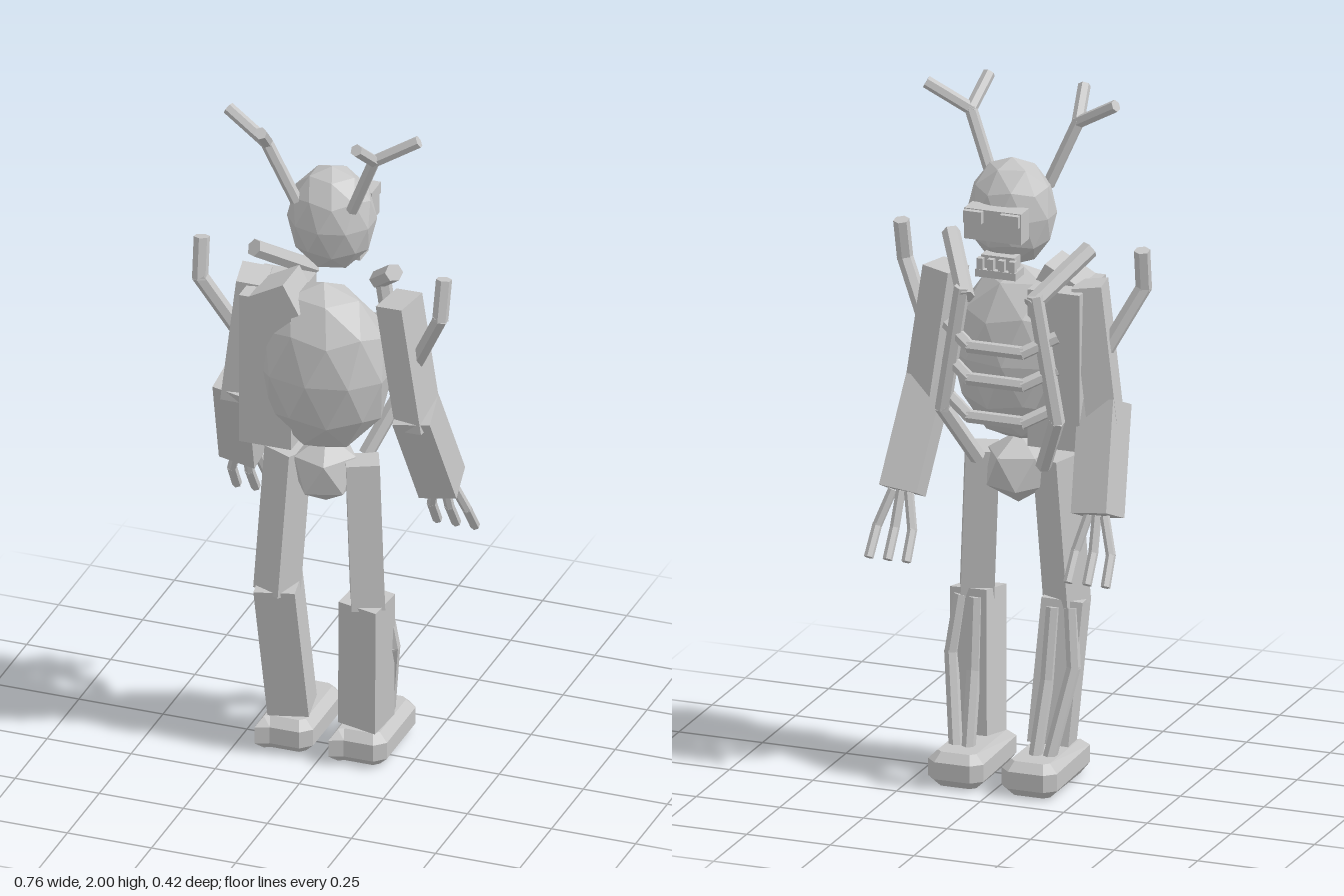
import * as THREE from 'three';

const grey = new THREE.MeshStandardMaterial({ color: 0xc6c6c6, flatShading: true });
grey.name = 'stoneGrey';

const UP = new THREE.Vector3(0, 1, 0);

export function createModel() {
  const model = new THREE.Group();
  model.name = 'antleredCreature';

  const add = (name, geometry, x = 0, y = 0, z = 0, parent = model) => {
    const mesh = new THREE.Mesh(geometry, grey);
    mesh.name = name;
    mesh.position.set(x, y, z);
    parent.add(mesh);
    return mesh;
  };

  // Places a part built along y between an upper and a lower point
  const span = (name, top, bottom, makeGeometry, parent) => {
    const p = new THREE.Vector3(...top), q = new THREE.Vector3(...bottom);
    const dir = p.clone().sub(q);
    const mid = p.clone().add(q).multiplyScalar(0.5);
    const mesh = add(name, makeGeometry(dir.length()), mid.x, mid.y, mid.z, parent);
    mesh.quaternion.setFromUnitVectors(UP, dir.normalize());
  };

  // Chain of six-sided sticks through a list of points
  const sticks = (name, points, r, parent) => {
    for (let i = 0; i < points.length - 1; i++) {
      span(name, points[i], points[i + 1], h => new THREE.CylinderGeometry(r, r, h + r * 0.5, 6), parent);
    }
  };

  // Square limb turned a little about its own length
  const limb = (name, top, bottom, w, d, turn, parent) =>
    span(name, top, bottom, h => new THREE.BoxGeometry(w, h, d).rotateY(turn), parent);

  // Faceted ball with a corner at the top and bottom
  const blob = (name, rx, ry, rz, x, y, z, detail = 1) => add(name,
    new THREE.IcosahedronGeometry(1, detail).rotateZ(-0.5536).scale(rx, ry, rz), x, y, z);

  // Box with every edge cut off at c
  const chamferBox = (w, h, d, c) => {
    const x = w / 2 - c, z = d / 2 - c;
    const k = c * 0.6;
    const outline = new THREE.Shape([[-x, -z - c + k], [-x + k, -z], [x - k, -z], [x, -z + k],
      [x, z - k], [x - k, z], [-x + k, z], [-x, z - k]].map(([a, b]) => new THREE.Vector2(a, b)));
    return new THREE.ExtrudeGeometry(outline, {
      depth: h - 2 * c, bevelEnabled: true, bevelThickness: c, bevelSize: c, bevelSegments: 1,
    }).translate(0, 0, c - h / 2).rotateX(-Math.PI / 2);
  };

  // Head, torso and pelvis
  blob('head', 0.127, 0.158, 0.115, 0, 1.66, -0.008);
  blob('torso', 0.2, 0.26, 0.15, 0, 1.225, 0.057);
  blob('pelvis', 0.1, 0.105, 0.11, 0, 0.895, 0.04, 0);

  // Face, looking towards -z
  add('face', new THREE.BoxGeometry(0.17, 0.09, 0.06), 0, 1.66, -0.125);
  add('jaw', new THREE.BoxGeometry(0.12, 0.022, 0.065), 0, 1.511, -0.103);
  add('mouth', new THREE.BoxGeometry(0.1, 0.06, 0.045), 0, 1.53, -0.095);
  for (let i = 0; i < 4; i++) {
    add('tooth', new THREE.BoxGeometry(0.018, 0.035, 0.02), -0.048 + i * 0.032, 1.536, -0.124);
  }

  // Ribs bent round the chest
  for (const y of [1.29, 1.195, 1.085]) {
    sticks('rib', [[0.16, y + 0.04, -0.085], [0.08, y, -0.13], [-0.08, y, -0.13], [-0.16, y + 0.04, -0.085]], 0.019);
  }

  // Plates on the right shoulder blade
  add('backPlate', new THREE.BoxGeometry(0.155, 0.46, 0.2), -0.14, 1.22, 0.05);
  add('shoulderPlate', new THREE.BoxGeometry(0.13, 0.1, 0.13), -0.12, 1.43, 0.085).rotation.z = 0.5;

  // Paired parts
  for (const s of [1, -1]) {
    const side = new THREE.Group();
    side.name = s > 0 ? 'leftSide' : 'rightSide';
    model.add(side);
    const m = (x, y, z) => [s * x, y, z];

    add('brow', new THREE.BoxGeometry(0.055, 0.035, 0.045), s * 0.055, 1.685, -0.15, side);

    // Antler
    sticks('antler', [m(0.28, 1.98, 0.06), m(0.16, 1.91, 0.085), m(0.085, 1.73, 0.055)], 0.018, side);
    sticks('antlerTine', [m(0.143, 1.985, 0.175), m(0.16, 1.91, 0.085)], 0.018, side);

    // Shoulder spikes
    sticks('collarSpike', [m(0.205, 1.55, 0.05), m(0.1, 1.43, -0.11)], 0.026, side);
    sticks('armSpike', [m(0.36, 1.56, 0.065), m(0.357, 1.45, 0.085), m(0.27, 1.28, 0.03)], 0.023, side);

    // Rib cage frame
    sticks('ribFrame', [m(0.11, 1.45, -0.11), m(0.17, 1.09, -0.1), m(0.1, 0.93, -0.02)], 0.023, side);

    // Arm
    limb('upperArm', m(0.215, 1.46, 0.035), m(0.268, 1.07, 0.02), 0.085, 0.11, -s * 0.2, side);
    limb('forearm', m(0.262, 1.12, 0.03), m(0.292, 0.83, -0.1), 0.11, 0.115, s * 0.1, side);
    for (const d of [-0.05, 0, 0.05]) {
      sticks('finger', [m(0.293 + d * 0.5, 0.83, -0.11), m(0.297 + d * 1.05, 0.735, -0.145),
        m(0.298 + d * 1.12, 0.66, -0.195)], 0.014, side);
    }

    // Leg
    limb('thigh', m(0.11, 0.94, 0.045), m(0.135, 0.5, 0.068), 0.094, 0.094, s * 0.4, side);
    limb('shin', m(0.132, 0.52, 0.068), m(0.11, 0.11, 0.015), 0.118, 0.11, -s * 0.15, side);
    sticks('outerCalf', [m(0.165, 0.5, 0.02), m(0.183, 0.34, -0.005), m(0.14, 0.09, -0.08)], 0.02, side);
    sticks('innerCalf', [m(0.115, 0.5, 0.01), m(0.11, 0.3, -0.02), m(0.1, 0.09, -0.085)], 0.02, side);

    // Foot
    add('foot', chamferBox(0.165, 0.1, 0.285, 0.025), s * 0.11, 0.05, -0.043, side);
  }

  return model;
}
